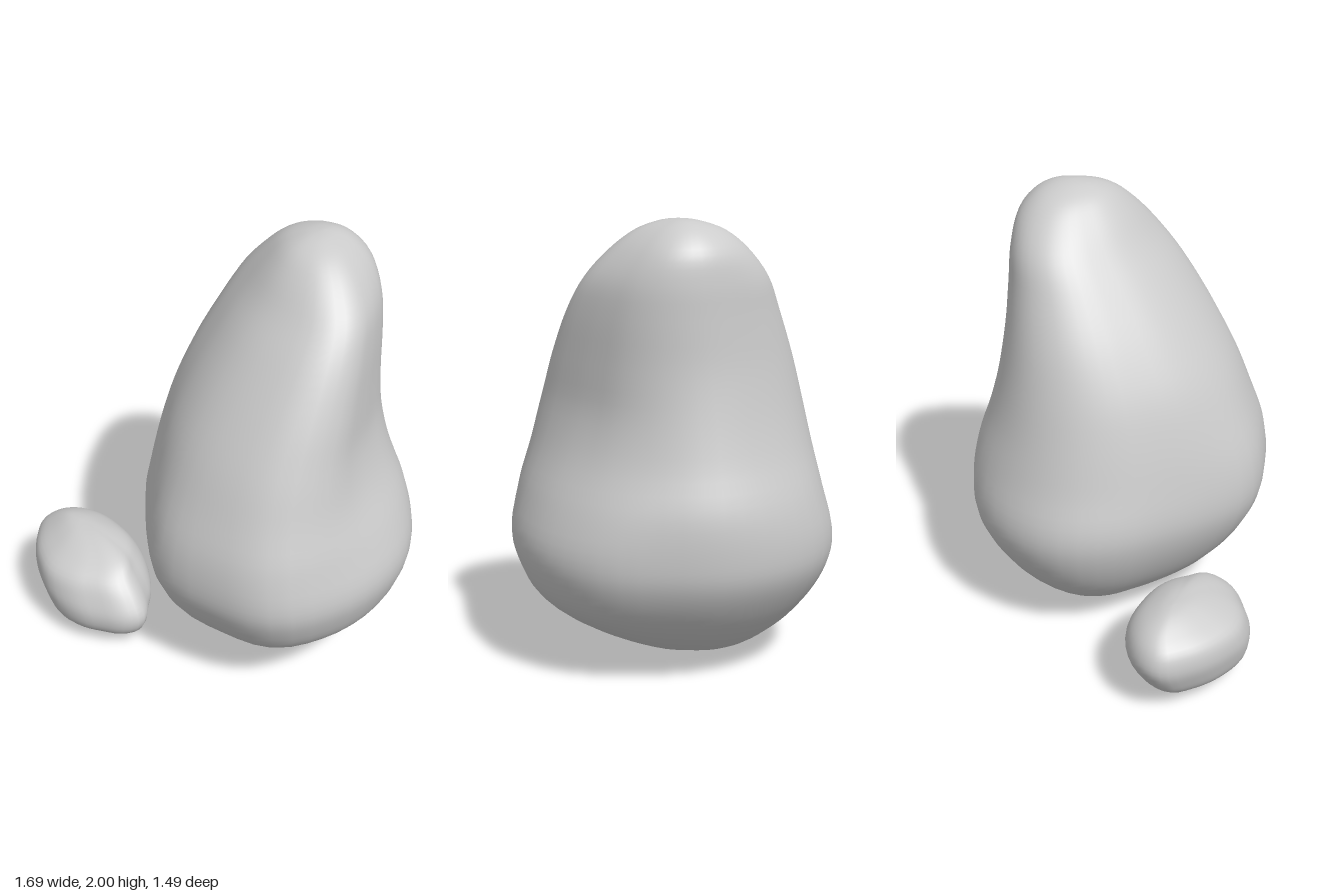
import * as THREE from 'three';

const SIDES = 48, STEPS = 4;

// Cubic interpolation through four neighbouring values
function cubic(a, b, c, d, t) {
  return b + 0.5 * t * (c - a + t * (2 * a - 5 * b + 4 * c - d + t * (3 * (b - c) + d - a)));
}

// Radius at an angle, from 16 evenly spaced radii (from +x towards +z)
function radiusAt(radii, turn) {
  const n = radii.length, f = turn * n, i = Math.floor(f);
  const r = k => radii[(i + k + n) % n];
  return cubic(r(-1), r(0), r(1), r(2), f - i);
}

// Closed boulder lofted upwards through rings of [y, xMin, xMax, zMin, zMax];
// the outline changes from lowRadii to highRadii between heights y0 and y1
function boulder(name, rings, lowRadii, highRadii, y0, y1) {
  const pos = [], index = [];
  const last = rings.length - 1, rows = last * STEPS;
  for (let row = 0; row <= rows; row++) {
    const i = Math.min(Math.floor(row / STEPS), last - 1), t = row / STEPS - i;
    const ring = k => rings[Math.min(Math.max(i + k, 0), last)];
    const [y, xa, xb, za, zb] = rings[0].map((_, c) => cubic(ring(-1)[c], ring(0)[c], ring(1)[c], ring(2)[c], t));
    const mix = THREE.MathUtils.smoothstep(y, y0, y1);
    const outline = [];
    for (let j = 0; j < SIDES; j++) {
      const turn = j / SIDES, a = turn * Math.PI * 2;
      const r = THREE.MathUtils.lerp(radiusAt(lowRadii, turn), radiusAt(highRadii, turn), mix);
      outline.push(new THREE.Vector2(r * Math.cos(a), r * Math.sin(a)));
    }
    // Fit the outline to the extents of this ring
    const box = new THREE.Box2().setFromPoints(outline);
    for (const p of outline) {
      pos.push(
        THREE.MathUtils.mapLinear(p.x, box.min.x, box.max.x, xa, xb), y,
        THREE.MathUtils.mapLinear(p.y, box.min.y, box.max.y, za, zb));
    }
  }
  for (let row = 0; row < rows; row++) {
    for (let j = 0; j < SIDES; j++) {
      const a = row * SIDES + j, b = row * SIDES + (j + 1) % SIDES;
      index.push(a, a + SIDES, b, b, a + SIDES, b + SIDES);
    }
  }
  const geo = new THREE.BufferGeometry();
  geo.setAttribute('position', new THREE.Float32BufferAttribute(pos, 3));
  geo.setIndex(index);
  geo.computeVertexNormals();
  // Both tips point straight down and up
  for (let j = 0; j < SIDES; j++) {
    geo.attributes.normal.setXYZ(j, 0, -1, 0);
    geo.attributes.normal.setXYZ(rows * SIDES + j, 0, 1, 0);
  }
  const mesh = new THREE.Mesh(geo, new THREE.MeshStandardMaterial({ color: 0xcccccc }));
  mesh.name = name;
  return mesh;
}

export function createModel() {
  const group = new THREE.Group();
  group.name = 'boulders';

  // Tall leaning boulder with a hollow in its back left side
  group.add(boulder('largeBoulder', [
    [0.035, 0.04, 0.04, -0.1, -0.1],
    [0.045, -0.1, 0.14, -0.22, 0.03],
    [0.09, -0.22, 0.32, -0.36, 0.15],
    [0.2, -0.37, 0.56, -0.51, 0.32],
    [0.33, -0.48, 0.74, -0.63, 0.45],
    [0.48, -0.55, 0.82, -0.72, 0.54],
    [0.62, -0.56, 0.84, -0.745, 0.575],
    [0.8, -0.51, 0.79, -0.735, 0.555],
    [1.0, -0.46, 0.725, -0.675, 0.48],
    [1.2, -0.41, 0.68, -0.63, 0.39],
    [1.4, -0.35, 0.65, -0.6, 0.27],
    [1.6, -0.27, 0.61, -0.59, 0.13],
    [1.75, -0.2, 0.555, -0.585, 0.01],
    [1.87, -0.1, 0.46, -0.565, -0.08],
    [1.95, 0, 0.36, -0.5, -0.16],
    [1.99, 0.11, 0.26, -0.42, -0.25],
    [2.0, 0.19, 0.19, -0.34, -0.34],
  ],
  [1, 1.04, 1.1, 1.03, 1, 0.88, 0.84, 0.91, 1, 1.04, 1.06, 1.03, 0.99, 0.95, 0.98, 0.99],
  [0.92, 1.08, 1.14, 1.07, 1, 0.92, 0.88, 0.93, 1, 1.04, 1.03, 1, 1, 0.96, 0.9, 0.86],
  0.6, 1.25));

  // Small flat boulder lying at the front right
  const flat = [1, 0.97, 0.91, 0.95, 0.97, 0.89, 0.86, 0.89, 1, 1.04, 1.06, 1.06, 1, 0.97, 0.91, 0.89];
  group.add(boulder('smallBoulder', [
    [0.002, -0.4, -0.4, 0.51, 0.51],
    [0.008, -0.48, -0.32, 0.45, 0.58],
    [0.04, -0.61, -0.19, 0.38, 0.65],
    [0.1, -0.74, -0.09, 0.31, 0.72],
    [0.18, -0.81, -0.06, 0.265, 0.745],
    [0.26, -0.845, -0.1, 0.25, 0.745],
    [0.34, -0.825, -0.17, 0.27, 0.715],
    [0.4, -0.76, -0.25, 0.32, 0.62],
    [0.44, -0.67, -0.4, 0.4, 0.53],
    [0.45, -0.58, -0.58, 0.46, 0.46],
  ], flat, flat, 0, 1));

  return group;
}
